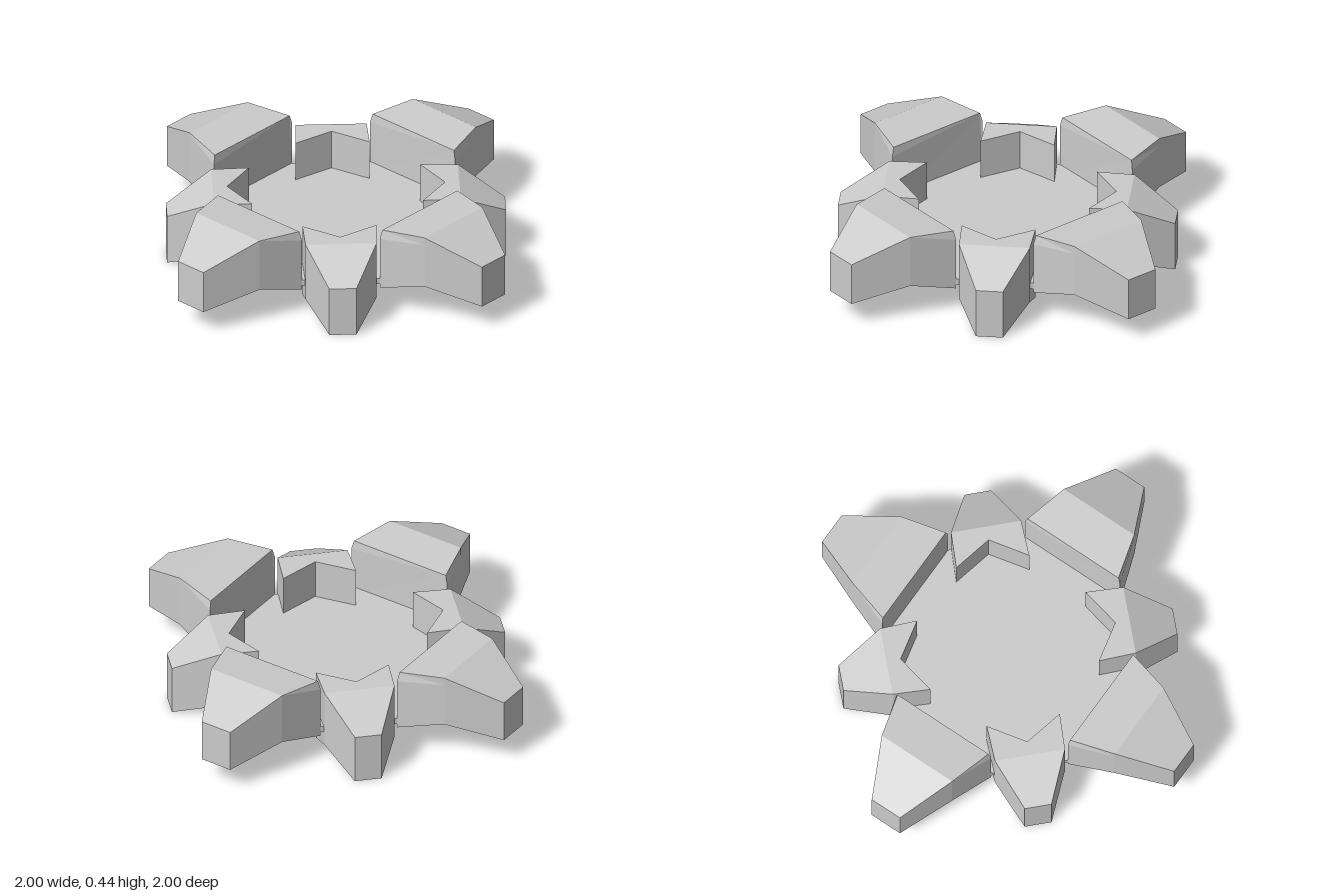
import * as THREE from 'three';

const material = new THREE.MeshStandardMaterial({ color: 0xcccccc, flatShading: true });

// Skins a solid through rings of equal length (counter-clockwise seen from the last ring).
// Both end caps are fanned from the ring's second point.
function loft(rings) {
  const n = rings[0].length;
  const pos = [];
  const tri = (a, b, c) => pos.push(...a, ...b, ...c);
  for (let r = 0; r < rings.length - 1; r++) {
    const a = rings[r], b = rings[r + 1];
    for (let i = 0; i < n; i++) {
      const j = (i + 1) % n;
      tri(a[i], a[j], b[j]);
      tri(a[i], b[j], b[i]);
    }
  }
  const first = rings[0], last = rings[rings.length - 1];
  for (let k = 2; k < n; k++) {
    const i = k % n, j = (k + 1) % n;
    tri(first[1], first[j], first[i]);
    tri(last[1], last[i], last[j]);
  }
  const geo = new THREE.BufferGeometry();
  geo.setAttribute('position', new THREE.Float32BufferAttribute(pos, 3));
  geo.computeVertexNormals();
  return geo;
}

// Arm section: top edge, shoulder and bottom edge, mirrored across x = 0
function armRing({ z, topW, topY, shoulderW, shoulderY, botY, topZ = z }) {
  return [
    [topW, topY, topZ], [-topW, topY, topZ],
    [-shoulderW, shoulderY, z], [-shoulderW, botY, z],
    [shoulderW, botY, z], [shoulderW, shoulderY, z],
  ];
}

// Post section: corner (x, z) and its mirror across the diagonal, plus a middle point on the diagonal
function postRing(x, z, mid, bottom, top) {
  return [
    [x, top, z], [mid, top, mid], [z, top, x],
    [z, bottom, x], [mid, bottom, mid], [x, bottom, z],
  ];
}

export function createModel() {
  const group = new THREE.Group();

  const armGeo = loft([
    armRing({ z: 0.527, topZ: 0.532, topW: 0.258, topY: 0.425, shoulderW: 0.27, shoulderY: 0.38, botY: 0.12 }),
    armRing({ z: 0.745, topW: 0.2, topY: 0.44, shoulderW: 0.2, shoulderY: 0.4, botY: 0.18 }),
    armRing({ z: 1, topW: 0.08, topY: 0.33, shoulderW: 0.08, shoulderY: 0.3, botY: 0.12 }),
  ]);

  const postGeo = loft([
    postRing(0.405, 0.16, 0.36, 0, 0.365),       // inner V-shaped notch
    postRing(0.525, 0.29, 0.4075, 0.075, 0.365), // ridge
    postRing(0.605, 0.515, 0.56, 0, 0.245),      // outer tip
  ]);

  // Four arms and four diagonal posts around the centre
  for (let i = 0; i < 4; i++) {
    const arm = new THREE.Mesh(armGeo, material);
    arm.name = 'arm' + (i + 1);
    const post = new THREE.Mesh(postGeo, material);
    post.name = 'cornerPost' + (i + 1);
    arm.rotation.y = post.rotation.y = i * Math.PI / 2;
    group.add(arm, post);
  }

  // Eight-sided floor plate
  const e = 0.527, c = 0.27;
  const outline = new THREE.Shape([
    [e, -c], [e, c], [c, e], [-c, e], [-e, c], [-e, -c], [-c, -e], [c, -e],
  ].map(([x, y]) => new THREE.Vector2(x, y)));
  const floorGeo = new THREE.ExtrudeGeometry(outline, { depth: 0.03, bevelEnabled: false });
  floorGeo.rotateX(-Math.PI / 2);
  const floor = new THREE.Mesh(floorGeo, material);
  floor.position.y = 0.14;
  floor.name = 'floorPlate';
  group.add(floor);

  return group;
}
